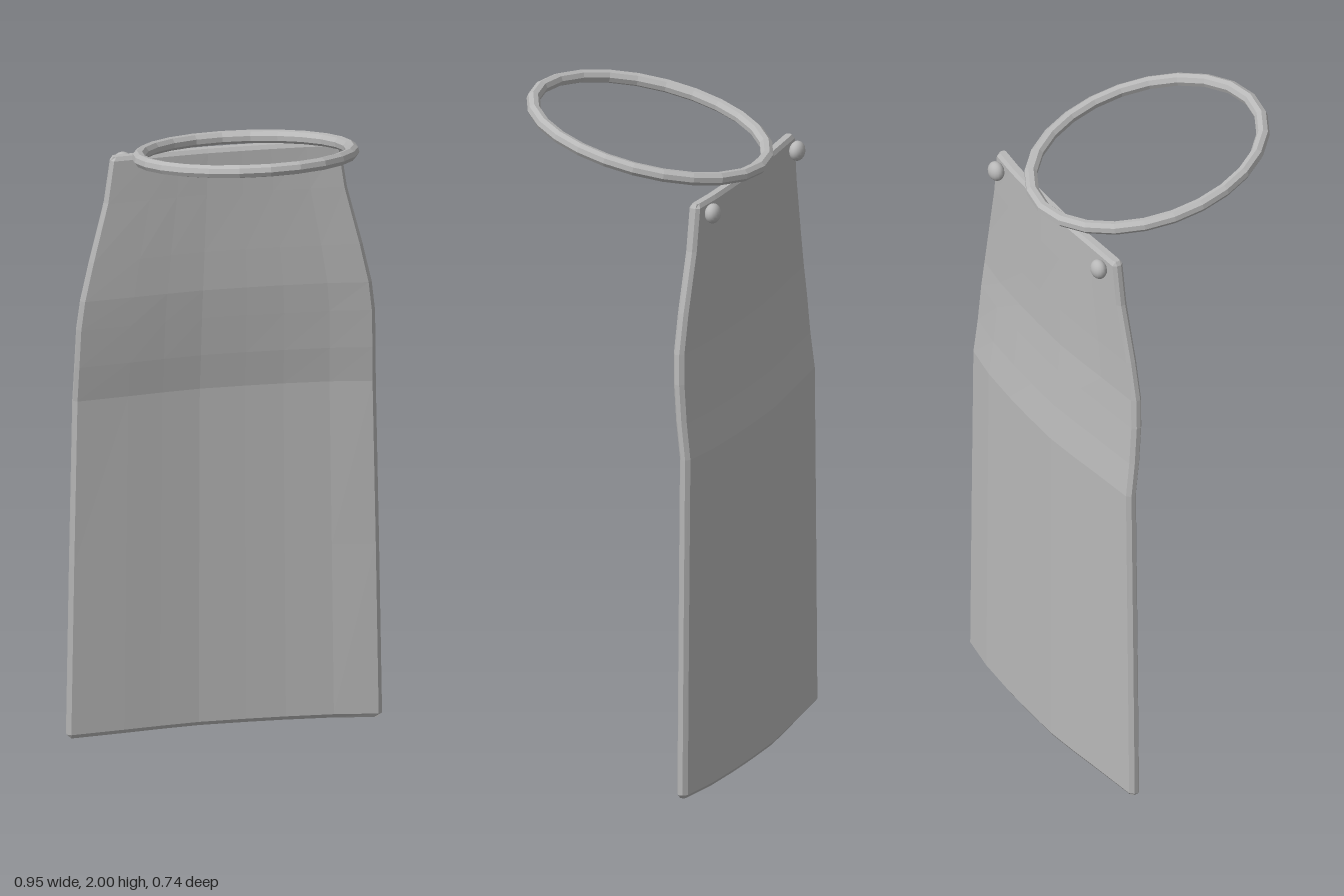
import * as THREE from 'three';

const grey = new THREE.MeshStandardMaterial({ color: 0xb8b8b8 });
grey.name = 'grey';

function part(name, geometry) {
  const mesh = new THREE.Mesh(geometry, grey);
  mesh.name = name;
  return mesh;
}

function faceted(geometry) {
  const g = geometry.toNonIndexed();
  g.computeVertexNormals();
  return g;
}

// Hanging cloth: stacked closed sections, bowed forward at the sides
function clothGeometry() {
  // position across (-1..1), forward bow, thickness
  const columns = [
    [-1, 0.04, 0.4], [-0.975, 0.038, 1], [-0.63, 0.022, 1], [-0.4, 0.01, 1],
    [-0.15, 0, 1], [0.15, 0.001, 1], [0.4, 0.005, 1], [0.7, 0.015, 1],
    [0.975, 0.036, 1], [1, 0.038, 0.4],
  ];
  // height, half width, depth, amount of bow, thickness
  const rows = [
    [0.003, 0.462, -0.352, 1, 0.5], [0.016, 0.475, -0.352, 1, 1],
    [0.55, 0.466, -0.352, 1, 1], [1.06, 0.456, -0.352, 1, 1],
    [1.17, 0.453, -0.337, 0.95, 1], [1.29, 0.449, -0.325, 0.88, 1],
    [1.38, 0.438, -0.317, 0.8, 1], [1.5, 0.411, -0.315, 0.7, 1],
    [1.68, 0.365, -0.314, 0.5, 1], [1.81, 0.346, -0.313, 0.4, 1],
    [1.822, 0.338, -0.313, 0.4, 0.6],
  ];
  const n = columns.length, N = 2 * n, positions = [], index = [];
  const quad = (a, b, c, d) => index.push(a, b, c, a, c, d);

  for (const [y, w, z, bow, rowT] of rows) {
    const put = ([u, off, colT], side) =>
      positions.push(u * w, y, z + off * bow + side * 0.017 * Math.min(colT, rowT));
    columns.forEach((c) => put(c, 1));
    [...columns].reverse().forEach((c) => put(c, -1));
  }
  for (let i = 0; i < rows.length - 1; i++) {
    for (let j = 0; j < N; j++) {
      const a = i * N + j, b = i * N + (j + 1) % N;
      quad(a, b, b + N, a + N);
    }
  }
  // close the hem and the top edge
  const top = (rows.length - 1) * N;
  for (let j = 0; j < n - 1; j++) {
    quad(j, N - 1 - j, N - 2 - j, j + 1);
    quad(top + j, top + j + 1, top + N - 2 - j, top + N - 1 - j);
  }
  const g = new THREE.BufferGeometry();
  g.setAttribute('position', new THREE.Float32BufferAttribute(positions, 3));
  g.setIndex(index);
  return faceted(g);
}

// Oval neck ring, tilted up towards the front
function ringGeometry() {
  const points = [];
  for (let i = 0; i < 24; i++) {
    const a = (i / 24) * Math.PI * 2;
    points.push(new THREE.Vector3(
      0.314 * Math.sin(a), 1.908 + 0.073 * Math.cos(a), 0.353 * Math.cos(a)));
  }
  const curve = new THREE.CatmullRomCurve3(points, true);
  return faceted(new THREE.TubeGeometry(curve, 24, 0.02, 8, true));
}

export function createModel() {
  const model = new THREE.Group();
  model.name = 'cape';
  model.add(part('cloth', clothGeometry()));
  model.add(part('neckRing', ringGeometry()));

  // Studs on the back of the upper corners
  for (const side of [-1, 1]) {
    const stud = part(side > 0 ? 'leftStud' : 'rightStud', new THREE.SphereGeometry(1, 16, 12));
    stud.scale.set(0.03, 0.03, 0.023);
    stud.position.set(side * 0.3, 1.787, -0.34);
    model.add(stud);
  }
  return model;
}
